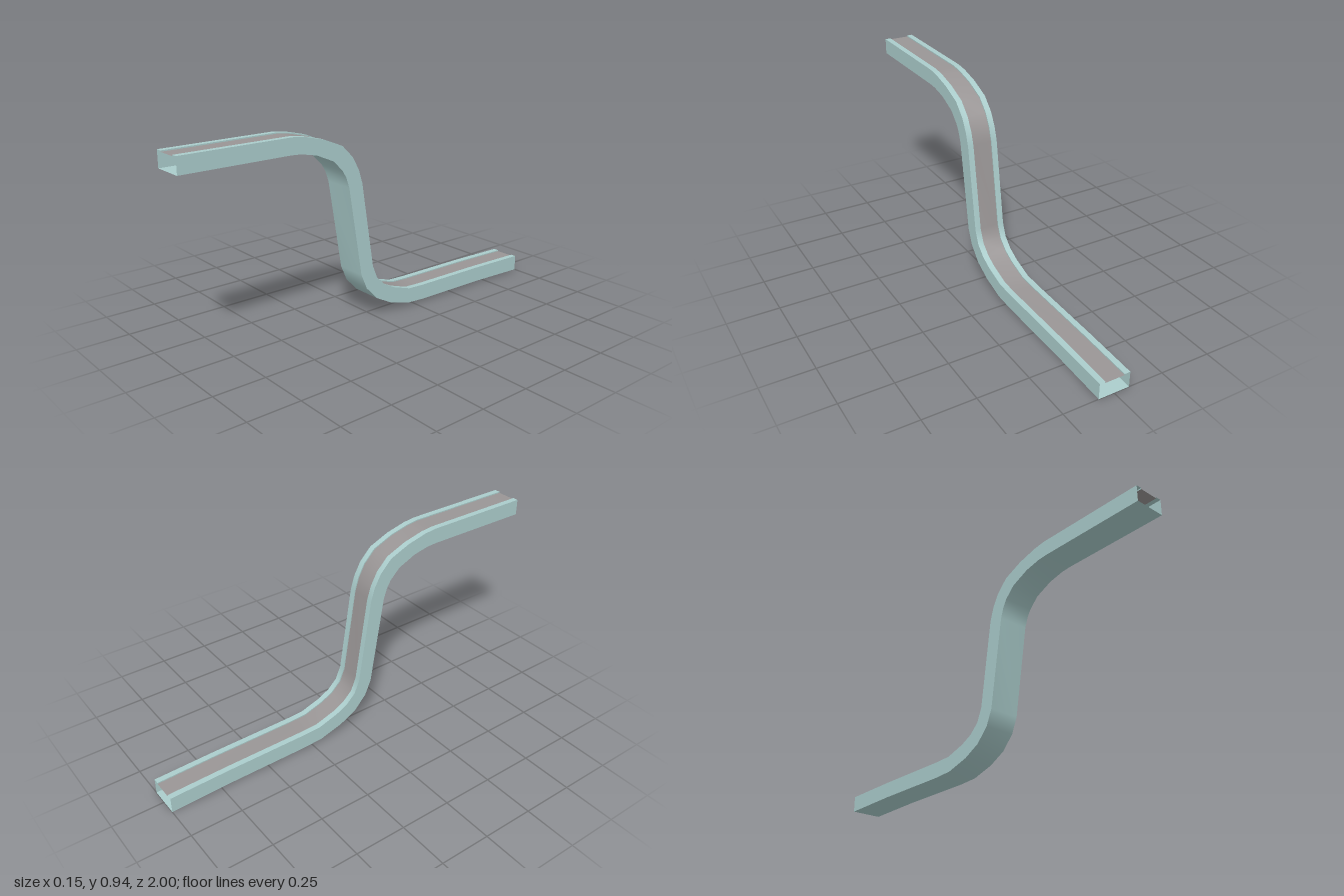
import * as THREE from 'three';

// Sections along the run, each [bottom z, bottom y, top z, top y]
const sections = [
  [1, 0.865, 1, 0.942],
  [0.47, 0.865, 0.46, 0.941],
  [0.42, 0.862, 0.40, 0.934],
  [0.34, 0.845, 0.30, 0.909],
  [0.25, 0.805, 0.20, 0.867],
  [0.20, 0.755, 0.142, 0.808],
  [0.18, 0.72, 0.108, 0.745],
  [0.163, 0.67, 0.088, 0.68],
  [0.094, 0.238, 0.024, 0.265],
  [0.062, 0.163, -0.003, 0.2],
  [0, 0.097, -0.05, 0.155],
  [-0.085, 0.052, -0.11, 0.124],
  [-0.2, 0.018, -0.21, 0.092],
  [-0.3, 0.012, -0.3, 0.088],
  [-0.7, 0.009, -0.7, 0.085],
  [-1, 0, -1, 0.078],
];

// Ribbon along the run between two profile points [x, height fraction]
function ribbon(name, a, b, material) {
  const positions = [], index = [];
  sections.forEach(([bz, by, tz, ty], i) => {
    for (const [x, t] of [a, b]) {
      positions.push(x, THREE.MathUtils.lerp(by, ty, t), THREE.MathUtils.lerp(bz, tz, t));
    }
    if (i > 0) {
      const p = 2 * (i - 1);
      index.push(p, p + 1, p + 2, p + 1, p + 3, p + 2);
    }
  });
  const geometry = new THREE.BufferGeometry();
  geometry.setAttribute('position', new THREE.Float32BufferAttribute(positions, 3));
  geometry.setIndex(index);
  geometry.computeVertexNormals();
  const mesh = new THREE.Mesh(geometry, material);
  mesh.name = name;
  return mesh;
}

export function createModel() {
  const frame = new THREE.MeshStandardMaterial({ color: 0xaacccb, side: THREE.DoubleSide });
  frame.name = 'paleTeal';
  const rubber = new THREE.MeshStandardMaterial({ color: 0x999595, side: THREE.DoubleSide });
  rubber.name = 'beltGrey';

  const W = 0.0765; // half width of the frame
  const B = 0.048; // half width of the belt
  const T = 0.93; // belt height within the frame

  const model = new THREE.Group();
  model.name = 'conveyor';
  model.add(
    // Open-ended hollow frame
    ribbon('rightWall', [-W, 0], [-W, 1], frame),
    ribbon('rightLip', [-W, 1], [-B, 1], frame),
    ribbon('rightLipEdge', [-B, 1], [-B, T], frame),
    ribbon('leftLipEdge', [B, T], [B, 1], frame),
    ribbon('leftLip', [B, 1], [W, 1], frame),
    ribbon('leftWall', [W, 1], [W, 0], frame),
    ribbon('floor', [W, 0], [-W, 0], frame),
    // Belt recessed between the lips
    ribbon('belt', [-B, T], [B, T], rubber),
  );
  return model;
}
